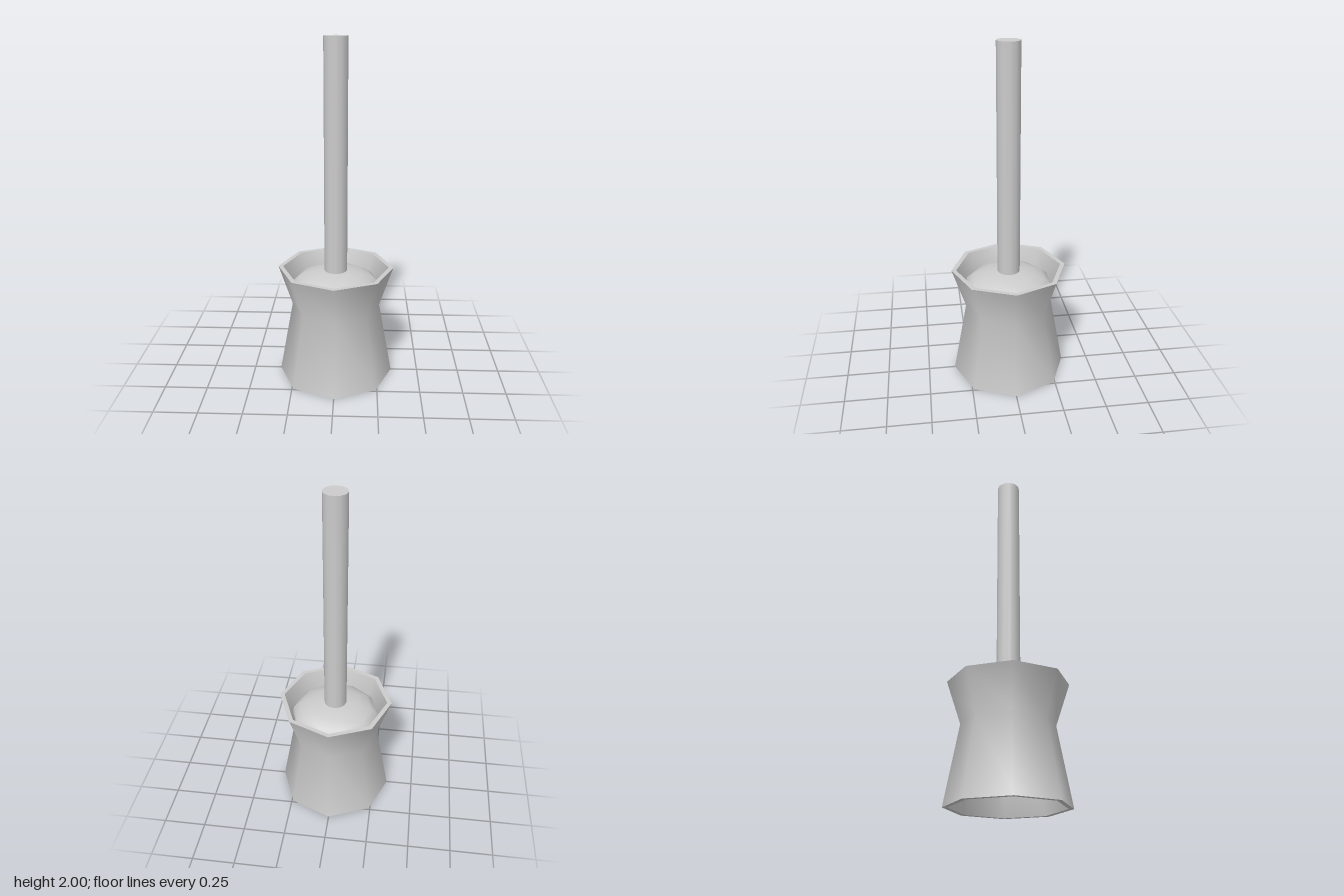
import * as THREE from 'three';
import { toCreasedNormals } from 'three/addons/utils/BufferGeometryUtils.js';

export function createModel() {
  const model = new THREE.Group();
  const material = new THREE.MeshStandardMaterial({ color: 0xcccccc });

  const add = (name, geometry, y) => {
    const mesh = new THREE.Mesh(geometry, material);
    mesh.name = name;
    mesh.position.y = y;
    model.add(mesh);
    return mesh;
  };

  // Eight-sided waisted holder: outer wall up, rim, inner wall down, base rim
  const wall = 0.028;
  const outer = [[0.34, 0], [0.26, 0.44], [0.34, 0.68]];
  const inner = outer.map(([r, y]) => [r - wall, y]).reverse();
  const profile = [...outer, ...inner, outer[0]].map(([r, y]) => new THREE.Vector2(r, y));
  add('holder', toCreasedNormals(new THREE.LatheGeometry(profile, 8), 1.1), 0);

  // Flattened brush head resting in the flared top of the holder
  const head = new THREE.SphereGeometry(0.27, 10, 10);
  head.scale(1, 0.43, 1);
  add('brushHead', head, 0.55);

  // Straight handle rising from the brush head
  const bottom = 0.55, top = 2;
  add('handle', new THREE.CylinderGeometry(0.067, 0.067, top - bottom, 12), (top + bottom) / 2);

  return model;
}
